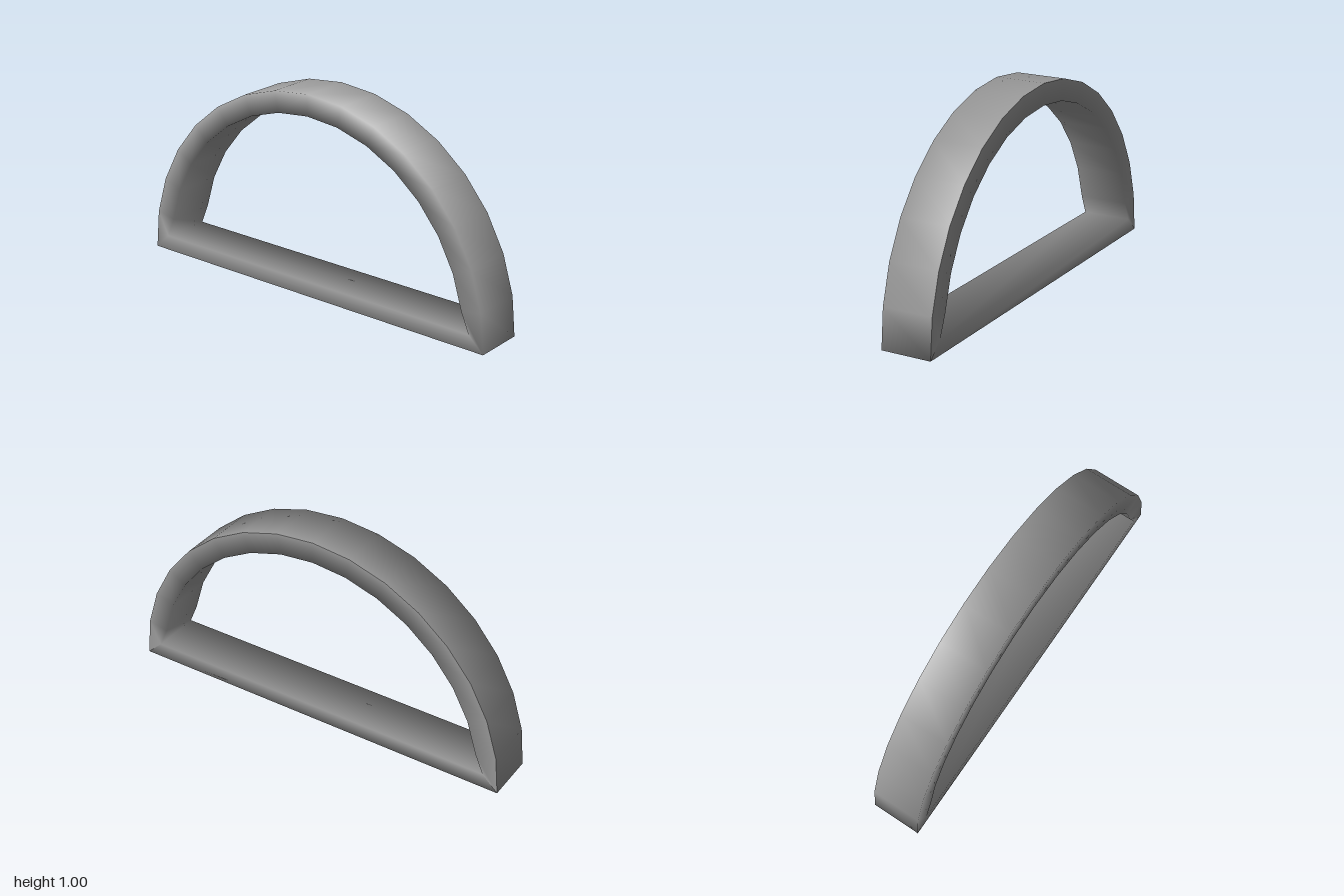
import * as THREE from 'three';

const SEGMENTS = 16;
const HALF_DEPTH = 0.125;
const INNER_RADIUS = 0.895;

// Section points: 0 outer front, 1 outer back, 2 outer back again (hard rear rim), 3 inner back, 4 inner front
const ARCH_SIDES = [[0, 1], [2, 3], [3, 4], [4, 0]];
const BAR_SIDES = [[0, 1], [1, 3], [3, 4], [4, 0]];

// Half ring closed by a straight bar: a four-sided section swept round a D-shaped loop
function dFrameGeometry() {
  const points = [], normals = [], index = [];
  const stations = SEGMENTS + 1;
  for (let i = 0; i < stations; i++) {
    const a = (i / SEGMENTS) * Math.PI;
    const c = Math.cos(a), s = Math.sin(a);
    // the inner loop is cut off by the top of the bar at both ends
    const atEnd = i === 0 || i === SEGMENTS;
    const ix = atEnd ? 0.92 * Math.sign(c) : INNER_RADIUS * c;
    const iy = atEnd ? 0.075 : INNER_RADIUS * s;
    points.push(
      new THREE.Vector3(c, s, HALF_DEPTH),
      new THREE.Vector3(c, s, -HALF_DEPTH),
      new THREE.Vector3(c, s, -HALF_DEPTH),
      new THREE.Vector3(ix, iy, -HALF_DEPTH),
      new THREE.Vector3(ix, iy, HALF_DEPTH)
    );
  }
  points.forEach(() => normals.push(new THREE.Vector3()));

  // each face adds its direction equally to its corners, for soft rounded shading
  const addQuad = (a, b, c, d) => {
    index.push(a, b, d, b, c, d);
    const across = points[c].clone().sub(points[a]);
    const normal = across.cross(points[d].clone().sub(points[b])).normalize();
    [a, b, c, d].forEach((v) => normals[v].add(normal));
  };

  // the last station joins the first, which makes the base bar
  for (let i = 0; i < stations; i++) {
    const here = i * 5, next = ((i + 1) % stations) * 5;
    for (const [k, m] of i < SEGMENTS ? ARCH_SIDES : BAR_SIDES) {
      addQuad(here + k, here + m, next + m, next + k);
    }
  }

  const geometry = new THREE.BufferGeometry().setFromPoints(points);
  const normalData = normals.flatMap((n) => n.normalize().toArray());
  geometry.setAttribute('normal', new THREE.Float32BufferAttribute(normalData, 3));
  geometry.setIndex(index);
  return geometry;
}

export function createModel() {
  const group = new THREE.Group();
  group.name = 'archFrame';
  const frame = new THREE.Mesh(
    dFrameGeometry(),
    new THREE.MeshStandardMaterial({ color: 0x999999 })
  );
  frame.name = 'archWithBaseBar';
  group.add(frame);
  return group;
}
